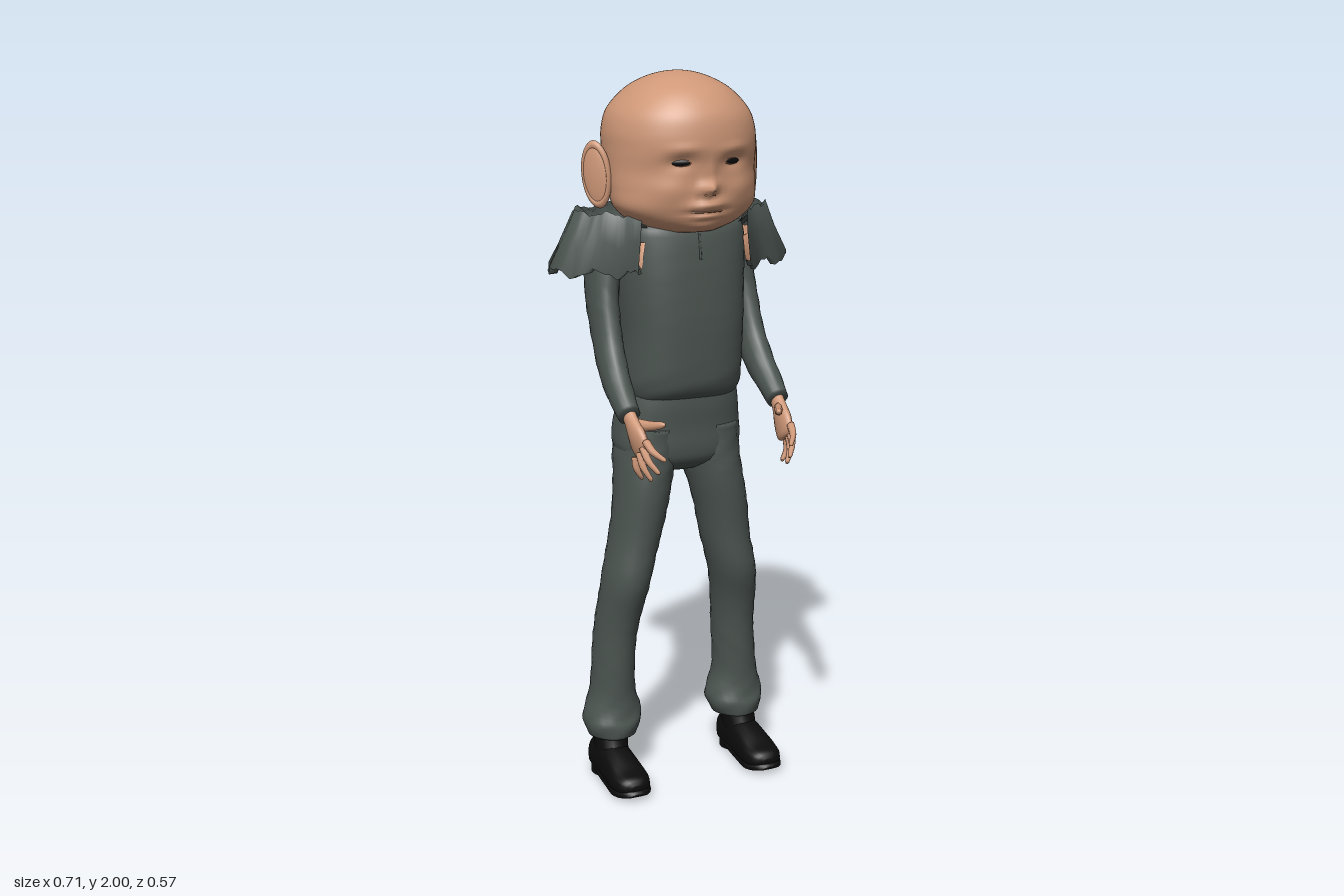
import * as THREE from 'three';

const mat = (name, color, side = THREE.FrontSide) => {
  const m = new THREE.MeshStandardMaterial({ color, side });
  m.name = name;
  return m;
};

// Catmull-Rom interpolation of every column of a table of cross-sections
function smooth(rows, steps) {
  const out = [], at = i => rows[Math.min(rows.length - 1, Math.max(0, i))];
  for (let i = 0; i < rows.length - 1; i++)
    for (let k = 0; k < steps; k++) {
      const t = k / steps, [a, b, c, d] = [at(i - 1), at(i), at(i + 1), at(i + 2)];
      out.push(b.map((p, j) => p + 0.5 * t * (c[j] - a[j] + t * (2 * a[j] - 5 * p + 4 * c[j] - d[j]
        + t * (3 * (p - c[j]) + d[j] - a[j])))));
    }
  out.push(rows[rows.length - 1]);
  return out;
}

// Surface through rings of points; closed rings get end caps and outward faces
function surface(rings, closed) {
  const n = rings[0].length, m = rings.length, pos = rings.flat(2), idx = [];
  const cols = closed ? n : n - 1;
  for (let i = 0; i < m - 1; i++)
    for (let j = 0; j < cols; j++) {
      const a = i * n + j, b = i * n + (j + 1) % n;
      idx.push(a, b, a + n, b, b + n, a + n);
    }
  if (closed) {
    for (const i of [0, m - 1]) {
      const c = pos.length / 3;
      for (let k = 0; k < 3; k++) pos.push(rings[i].reduce((s, p) => s + p[k], 0) / n);
      for (let j = 0; j < n; j++) {
        const a = i * n + j, b = i * n + (j + 1) % n;
        i ? idx.push(a, b, c) : idx.push(b, a, c);
      }
    }
    const P = i => new THREE.Vector3().fromArray(pos, 3 * i);
    let volume = 0;
    for (let i = 0; i < idx.length; i += 3) volume += P(idx[i]).dot(P(idx[i + 1]).cross(P(idx[i + 2])));
    if (volume < 0) idx.reverse();
  }
  const g = new THREE.BufferGeometry();
  g.setAttribute('position', new THREE.Float32BufferAttribute(pos, 3));
  g.setIndex(idx);
  g.computeVertexNormals();
  return g;
}

// Loft over rows of [x, y, z, rx, rz]; flat keeps the rings horizontal
function loft(rows, { steps = 4, sides = 20, flat = true, power = 2, fold = 0, floor = -1 } = {}) {
  const r = smooth(rows, steps), X = new THREE.Vector3(1, 0, 0);
  const rings = r.map((q, i) => {
    const a = r[Math.max(0, i - 1)], b = r[Math.min(r.length - 1, i + 1)];
    const n = flat ? new THREE.Vector3(0, 0, 1)
      : new THREE.Vector3(0, b[1] - a[1], b[2] - a[2]).cross(X).normalize();
    return Array.from({ length: sides }, (_, j) => {
      const t = j / sides * Math.PI * 2;
      const e = v => Math.sign(v) * Math.abs(v) ** (2 / power);
      const f = 1 + fold * Math.sin(3 * t + q[1] * 37) * Math.sin(q[1] * 61 + 2 * t);
      const c = e(Math.cos(t)) * q[3] * f, s = e(Math.sin(t)) * q[4] * f;
      return [q[0] + c, Math.max(floor, q[1] + n.y * s), q[2] + n.z * s];
    });
  });
  return surface(rings, true);
}

// Row from height, centre x, half width, front z and back z
const row = (y, x, rx, zf, zb) => [x, y, (zf + zb) / 2, rx, (zf - zb) / 2];

export function createModel() {
  const group = new THREE.Group();
  const cloth = mat('greyCloth', 0x4b5450, THREE.DoubleSide);
  const skin = mat('skin', 0xcf9878, THREE.DoubleSide);
  const shade = mat('darkSkin', 0x8f6049);
  const black = mat('black', 0x0c0c0c);
  const add = (name, geo, m, parent = group) => {
    const mesh = new THREE.Mesh(geo, m);
    mesh.name = name;
    parent.add(mesh);
    return mesh;
  };
  const ball = (name, m, p, s, parent) => {
    const b = add(name, new THREE.SphereGeometry(1, 20, 14), m, parent);
    b.position.set(...p);
    b.scale.set(...s);
    return b;
  };

  // Head with face modelled by soft bumps: [x, y, width, height, push in z]
  const cx = -0.008;
  const headGeo = loft([
    row(1.585, cx, 0.09, 0.1, -0.1), row(1.61, cx, 0.15, 0.135, -0.13), row(1.65, cx, 0.195, 0.15, -0.14),
    row(1.7, cx, 0.203, 0.155, -0.165), row(1.75, cx, 0.204, 0.162, -0.2), row(1.8, cx, 0.205, 0.177, -0.23),
    row(1.85, cx, 0.203, 0.178, -0.238), row(1.9, cx, 0.186, 0.165, -0.23), row(1.95, cx, 0.14, 0.125, -0.19),
    row(1.98, cx, 0.09, 0.07, -0.135), row(1.995, cx, 0.045, 0.02, -0.08), row(2, cx, 0.008, -0.02, -0.038),
  ], { sides: 64, steps: 6, power: 2.1 });
  const bumps = [
    [0, 1.705, 0.02, 0.02, 0.038], [0, 1.745, 0.014, 0.03, 0.012], [0, 1.66, 0.04, 0.016, 0.024],
    [0, 1.632, 0.035, 0.01, 0.014], [0, 1.605, 0.04, 0.014, 0.012], [0, 1.645, 0.05, 0.005, -0.01],
    [0.075, 1.775, 0.035, 0.018, -0.012], [-0.075, 1.775, 0.035, 0.018, -0.012],
    [0.07, 1.81, 0.04, 0.012, 0.005], [-0.07, 1.81, 0.04, 0.012, 0.005],
    [0.1, 1.7, 0.05, 0.035, 0.01], [-0.1, 1.7, 0.05, 0.035, 0.01],
  ];
  const hp = headGeo.attributes.position;
  for (let i = 0; i < hp.count; i++) {
    const x = hp.getX(i) - cx, y = hp.getY(i), z = hp.getZ(i);
    if (z < 0.02) continue;
    let dz = 0;
    for (const [bx, by, w, h, d] of bumps) dz += d * Math.exp(-(((x - bx) / w) ** 2) - ((y - by) / h) ** 2);
    hp.setZ(i, z + dz);
  }
  headGeo.computeVertexNormals();
  const head = add('head', headGeo, skin);
  const faceZ = (x, y) => new THREE.Raycaster(new THREE.Vector3(x, y, 1), new THREE.Vector3(0, 0, -1))
    .intersectObject(head)[0]?.point.z ?? 0.15;
  add('neck', loft([row(1.66, cx, 0.12, 0.03, -0.145), row(1.5, cx, 0.12, 0.03, -0.15)]), skin);

  // Eyes, nostrils and mouth
  for (const s of [1, -1]) {
    const ex = cx + s * 0.075;
    const lid = ball('eyelid', shade, [ex, 1.777, faceZ(ex, 1.777) - 0.003], [0.034, 0.013, 0.006]);
    const eye = ball('eye', black, [ex, 1.775, faceZ(ex, 1.775) - 0.001], [0.029, 0.009, 0.007]);
    lid.rotation.y = eye.rotation.y = s * 0.4;
    ball('nostril', shade, [cx + s * 0.011, 1.69, faceZ(cx + s * 0.011, 1.69)], [0.006, 0.003, 0.002]);
  }
  const lips = [-0.045, -0.03, -0.015, 0, 0.015, 0.03, 0.045]
    .map(x => new THREE.Vector3(cx + x, 1.645 - 20 * x ** 4, faceZ(cx + x, 1.645)));
  add('mouth', new THREE.TubeGeometry(new THREE.CatmullRomCurve3(lips), 24, 0.003, 6), shade);

  // Ears angled out and back, with a rolled rim
  for (const s of [1, -1]) {
    const ear = new THREE.Group();
    ear.name = s > 0 ? 'leftEar' : 'rightEar';
    ball('earShell', skin, [0, 0, 0], [0.044, 0.086, 0.014], ear);
    const rim = add('earRim', new THREE.TorusGeometry(1, 0.17, 8, 28), skin, ear);
    rim.scale.set(0.038, 0.077, 0.06);
    ear.position.set(cx + s * 0.23, 1.733, -0.045);
    ear.rotation.set(0, s * 0.95, -s * 0.12);
    group.add(ear);
  }

  // Torso: loose top bloused over the trousers
  add('top', loft([
    row(1.61, 0, 0.14, 0.06, -0.13), row(1.59, 0, 0.17, 0.085, -0.15), row(1.5, 0, 0.178, 0.1, -0.185),
    row(1.4, 0, 0.176, 0.104, -0.195), row(1.3, 0, 0.172, 0.105, -0.19), row(1.2, 0, 0.172, 0.1, -0.192),
    row(1.15, 0, 0.168, 0.088, -0.185), row(1.12, 0, 0.155, 0.065, -0.145),
  ], { sides: 48, power: 2.6, fold: 0.012 }), cloth);
  add('hips', loft([
    row(1.15, 0, 0.16, 0.07, -0.145), row(1.1, -0.002, 0.17, 0.072, -0.16), row(1.04, -0.004, 0.18, 0.068, -0.175),
    row(0.98, -0.005, 0.182, 0.068, -0.165), row(0.94, -0.005, 0.15, 0.055, -0.13), row(0.91, -0.005, 0.06, 0.01, -0.09),
  ], { sides: 40, power: 2.5 }), cloth);
  const seamPts = [1.58, 1.55, 1.51].map(y => new THREE.Vector3(0, y, 0.086 + (1.58 - y) * 0.18));
  add('frontSeam', new THREE.TubeGeometry(new THREE.CatmullRomCurve3(seamPts), 8, 0.004, 5), cloth);

  // Flared collar: a horseshoe of ridge and outer hem, [ridge x, ridge z, hem x, hem z]
  const half = smooth([
    [0, -0.225, 0, -0.28], [0.13, -0.215, 0.15, -0.268], [0.235, -0.17, 0.295, -0.205], [0.285, -0.1, 0.355, -0.11],
    [0.255, -0.03, 0.315, -0.03], [0.2, 0.015, 0.225, 0.012], [0.155, 0.065, 0.165, 0.06],
  ], 6);
  const path = [...half.slice(1).reverse().map(([a, b, c, d]) => [-a, b, -c, d]), ...half];
  const collar = [], lining = [];
  path.forEach(([rx, rz, ox, oz], i) => {
    const w = 0.012 * Math.sin(i * 0.9) + 0.006 * Math.sin(i * 2.3), k = 1 + w * 0.8;
    const mid = [(rx + ox) / 2 * (1 - w), 1.555 + w, (rz + oz) / 2];
    collar.push([[rx * 0.6, 1.55, rz * 0.6 - 0.02], [rx * 0.88, 1.6, rz * 0.88 - 0.005], [rx, 1.632 + w * 0.5, rz],
      mid, [ox * k, 1.475 + w, oz * k], [ox * 0.93, 1.478 + w, oz * 0.93]]);
    lining.push([[ox * 0.93, 1.485 + w, oz * 0.93], [rx * 0.93, 1.56, rz * 0.93], [rx * 0.6, 1.535, rz * 0.6 - 0.02]]);
  });
  add('collar', surface(collar, false), cloth);
  add('collarLining', surface(lining, false), skin);

  for (const s of [1, -1]) {
    const side = s > 0 ? 'left' : 'right', o = -0.006;
    const X = x => o + s * x;

    // Sleeve
    add(side + 'Sleeve', loft([
      [X(0.165), 1.57, -0.09, 0.03, 0.05], [X(0.19), 1.51, -0.09, 0.05, 0.07], [X(0.208), 1.4, -0.075, 0.042, 0.066],
      [X(0.213), 1.29, -0.03, 0.038, 0.06], [X(0.218), 1.21, 0.03, 0.038, 0.05], [X(0.222), 1.15, 0.095, 0.034, 0.039],
      [X(0.222), 1.115, 0.14, 0.029, 0.033],
    ], { flat: false, fold: 0.05 }), cloth);

    // Hand: palm, four fingers and thumb
    const hand = new THREE.Group();
    hand.name = side + 'Hand';
    group.add(hand);
    add('palm', loft([
      [X(0.222), 1.125, 0.125, 0.018, 0.022], [X(0.22), 1.1, 0.15, 0.018, 0.026], [X(0.217), 1.065, 0.178, 0.018, 0.042],
      [X(0.213), 1.035, 0.2, 0.014, 0.043], [X(0.212), 1.025, 0.207, 0.008, 0.03],
    ], { flat: false, sides: 14 }), skin, hand);
    const fingers = [[1.065, 0.228, 1.022, 0.285], [1.046, 0.217, 0.984, 0.265], [1.03, 0.203, 0.96, 0.236],
      [1.015, 0.185, 0.955, 0.194]];
    fingers.forEach(([y, z, ty, tz], i) => {
      const a = 0.214 + 0.004 * i, b = 0.188 + 0.008 * i;
      add('finger', loft([[X(a), y, z, 0.011, 0.012], [X((a + b) / 2 + 0.006), (y + ty) / 2, (z + tz) / 2, 0.01, 0.01],
        [X(b), ty + 0.004, tz - 0.003, 0.007, 0.007], [X(b), ty, tz, 0.002, 0.002]], { flat: false, sides: 8 }), skin, hand);
    });
    add('thumb', loft([[X(0.21), 1.095, 0.165, 0.014, 0.018], [X(0.19), 1.1, 0.205, 0.012, 0.013],
      [X(0.173), 1.108, 0.238, 0.009, 0.009], [X(0.17), 1.11, 0.248, 0.002, 0.002]], { flat: false, sides: 8 }), skin, hand);

    // Trouser leg with gathered cuff
    add(side + 'TrouserLeg', loft([
      row(1.04, X(0.09), 0.08, 0.066, -0.165), row(0.97, X(0.095), 0.086, 0.068, -0.162), row(0.9, X(0.107), 0.08, 0.068, -0.14),
      row(0.8, X(0.125), 0.075, 0.064, -0.118), row(0.7, X(0.143), 0.07, 0.06, -0.113), row(0.6, X(0.165), 0.067, 0.056, -0.115),
      row(0.5, X(0.18), 0.063, 0.03, -0.126), row(0.4, X(0.188), 0.06, 0.012, -0.137), row(0.27, X(0.195), 0.064, 0.003, -0.138),
      row(0.2, X(0.195), 0.083, 0.008, -0.142), row(0.165, X(0.196), 0.084, 0.018, -0.145), row(0.13, X(0.198), 0.068, 0.012, -0.136),
    ], { sides: 28, fold: 0.04 }), cloth);

    // Shoe: upper, ankle, sole and heel
    const shoe = new THREE.Group();
    shoe.name = side + 'Shoe';
    group.add(shoe);
    const sx = X(0.208);
    add('upper', loft([[sx, 0.05, -0.122, 0.03, 0.035], [sx, 0.05, -0.11, 0.046, 0.055], [sx, 0.05, -0.04, 0.048, 0.062],
      [sx, 0.04, 0.03, 0.052, 0.055], [sx, 0.035, 0.09, 0.055, 0.038], [sx, 0.035, 0.13, 0.042, 0.028],
      [sx, 0.035, 0.145, 0.015, 0.01]], { flat: false, power: 2.5, floor: 0.018 }), black, shoe);
    add('ankle', loft([row(0.17, X(0.203), 0.044, -0.01, -0.11), row(0.12, X(0.205), 0.048, 0, -0.115),
      row(0.05, sx, 0.045, 0.03, -0.12)]), black, shoe);
    add('sole', loft([[sx, 0.02, -0.122, 0.035, 0.008], [sx, 0.02, -0.04, 0.05, 0.01], [sx, 0.014, 0.04, 0.054, 0.012],
      [sx, 0.014, 0.1, 0.057, 0.012], [sx, 0.022, 0.142, 0.036, 0.01], [sx, 0.028, 0.152, 0.01, 0.005]],
      { flat: false, power: 4 }), black, shoe);
    const heel = add('heel', new THREE.CylinderGeometry(0.046, 0.046, 0.03, 20), black, shoe);
    heel.position.set(sx, 0.015, -0.078);
  }
  return group;
}
